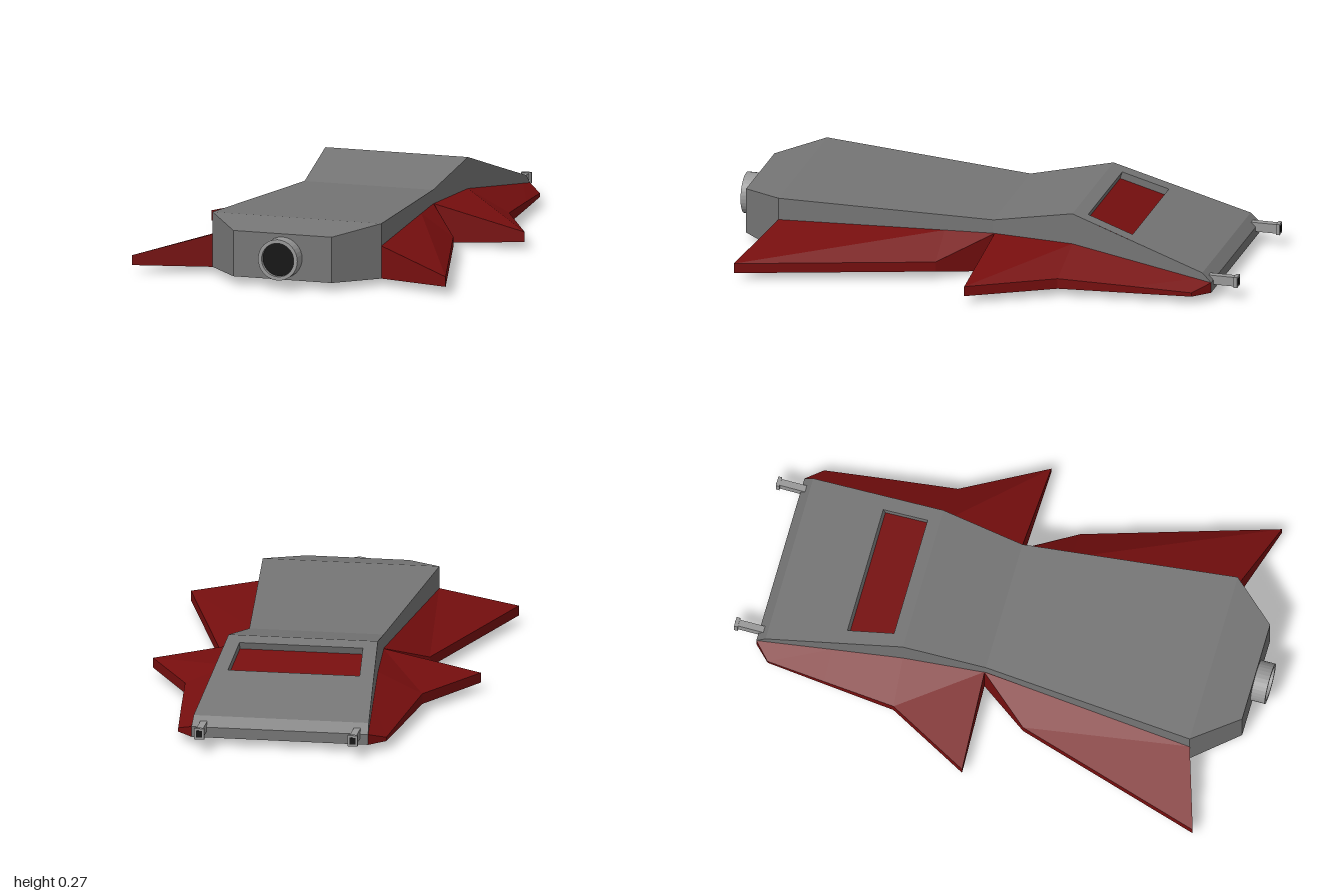
import * as THREE from 'three';

const mat = (name, color) => {
  const m = new THREE.MeshStandardMaterial({ color });
  m.name = name;
  return m;
};

// Flat-shaded mesh from a list of four-cornered faces
function quadMesh(name, quads, material) {
  const pos = [];
  for (const [a, b, c, d] of quads) pos.push(...a, ...b, ...c, ...a, ...c, ...d);
  const g = new THREE.BufferGeometry();
  g.setAttribute('position', new THREE.Float32BufferAttribute(pos, 3));
  g.computeVertexNormals();
  const mesh = new THREE.Mesh(g, material);
  mesh.name = name;
  return mesh;
}

// Faces joining four-cornered sections, ordered from back (-z) to front (+z)
function loft(sections, skipTop = []) {
  const quads = [];
  for (let s = 0; s < sections.length - 1; s++) {
    const A = sections[s], B = sections[s + 1];
    for (let i = 0; i < 4; i++) {
      const j = (i + 1) % 4;
      if (i === 0 && skipTop.includes(s)) continue;
      quads.push([A[i], B[i], B[j], A[j]]);
    }
  }
  const f = sections[sections.length - 1];
  quads.push(sections[0], [f[0], f[3], f[2], f[1]]);
  return quads;
}

// Mirror a section across x while keeping its corner order
const mirror = (s) => [s[1], s[0], s[3], s[2]].map(([x, y, z]) => [-x, y, z]);

export function createModel() {
  const model = new THREE.Group();
  model.name = 'spaceship';
  const grey = mat('hull grey', 0x757575);
  const red = mat('dark red', 0x760e0e);
  const light = mat('light metal', 0x989898);
  const black = mat('black', 0x121212);

  // Hull: z, half width, top, bottom
  const hull = [
    [-0.905, 0.335, 0.075, 0.035],
    [-0.87, 0.332, 0.11, 0.031],
    [-0.62, 0.308, 0.189, 0.005],
    [-0.35, 0.283, 0.275, 0.005],
    [-0.035, 0.255, 0.208, 0.005],
    [0.78, 0.335, 0.24, 0.03],
    [0.945, 0.195, 0.21, 0.035],
  ].map(([z, w, t, b]) => [[-w, t, z], [w, t, z], [w, b, z], [-w, b, z]]);
  const hullQuads = loft(hull, [1, 2]);

  // Sloping rear deck with a sunken window
  const slope = (0.275 - 0.11) / 0.52;
  const deck = (x, z) => [x, 0.11 + slope * (z + 0.87), z];
  const outer = [deck(-0.332, -0.87), deck(-0.283, -0.35), deck(0.283, -0.35), deck(0.332, -0.87)];
  const hole = [deck(-0.25, -0.575), deck(-0.234, -0.398), deck(0.234, -0.398), deck(0.25, -0.575)];
  const depth = 0.028 / Math.hypot(1, slope);
  const floor = hole.map(([x, y, z]) => [x, y - depth, z + depth * slope]);
  for (let i = 0; i < 4; i++) {
    const j = (i + 1) % 4;
    hullQuads.push([outer[i], outer[j], hole[j], hole[i]]);
    hullQuads.push([hole[i], hole[j], floor[j], floor[i]]);
  }
  model.add(quadMesh('hull', hullQuads, grey));
  model.add(quadMesh('window', [floor], red));

  // Wings: root x, top, bottom, z, then outer x, top, bottom, z
  const wing = (rows) => rows.map(([rx, rt, rb, rz, ox, ot, ob, oz]) =>
    [[rx, rt, rz], [ox, ot, oz], [ox, ob, oz], [rx, rb, rz]]);
  const rearWing = wing([
    [0.335, 0.075, 0.035, -0.905, 0.335, 0.075, 0.035, -0.905],
    [0.329, 0.084, 0.029, -0.845, 0.395, 0.05, 0.035, -0.845],
    [0.308, 0.116, 0.004, -0.62, 0.42, 0.062, 0.035, -0.62],
    [0.283, 0.155, 0.004, -0.35, 0.45, 0.075, 0.035, -0.34],
    [0.254, 0.155, 0.004, -0.04, 0.622, 0.073, 0.035, -0.025],
  ]);
  const frontWing = wing([
    [0.254, 0.155, 0.004, -0.04, 0.256, 0.155, 0.004, -0.04],
    [0.273, 0.155, 0.01, 0.15, 0.4, 0.073, 0.035, 0.15],
    [0.334, 0.155, 0.03, 0.78, 0.622, 0.073, 0.035, 0.872],
  ]);
  for (const [name, w] of [['RearWing', rearWing], ['FrontWing', frontWing]]) {
    model.add(quadMesh('left' + name, loft(w), red));
    model.add(quadMesh('right' + name, loft(w.map(mirror)), red));
  }

  // Round nozzle at the front: a ring with a dark bore
  const ring = new THREE.Shape().absarc(0, 0, 0.078, 0, Math.PI * 2);
  ring.holes.push(new THREE.Path().absarc(0, 0, 0.064, 0, Math.PI * 2, true));
  const nozzle = new THREE.Mesh(
    new THREE.ExtrudeGeometry(ring, { depth: 0.06, bevelEnabled: false, curveSegments: 16 }), light);
  nozzle.name = 'nozzle';
  nozzle.position.set(0, 0.12, 0.94);
  const bore = new THREE.Mesh(new THREE.CircleGeometry(0.065, 16), black);
  bore.name = 'nozzleBore';
  bore.position.set(0, 0.12, 0.985);
  model.add(nozzle, bore);

  // Pair of guns at the back
  for (const side of [1, -1]) {
    const gun = new THREE.Group();
    gun.name = side > 0 ? 'leftGun' : 'rightGun';
    const box = (name, w, h, d, z, m) => {
      const b = new THREE.Mesh(new THREE.BoxGeometry(w, h, d), m);
      b.name = name;
      b.position.z = z;
      gun.add(b);
    };
    box('barrel', 0.026, 0.036, 0.11, -0.935, light);
    box('muzzle', 0.038, 0.042, 0.014, -0.992, light);
    box('muzzleHole', 0.022, 0.026, 0.004, -0.998, black);
    gun.position.set(side * 0.291, 0.075, 0);
    model.add(gun);
  }
  return model;
}
